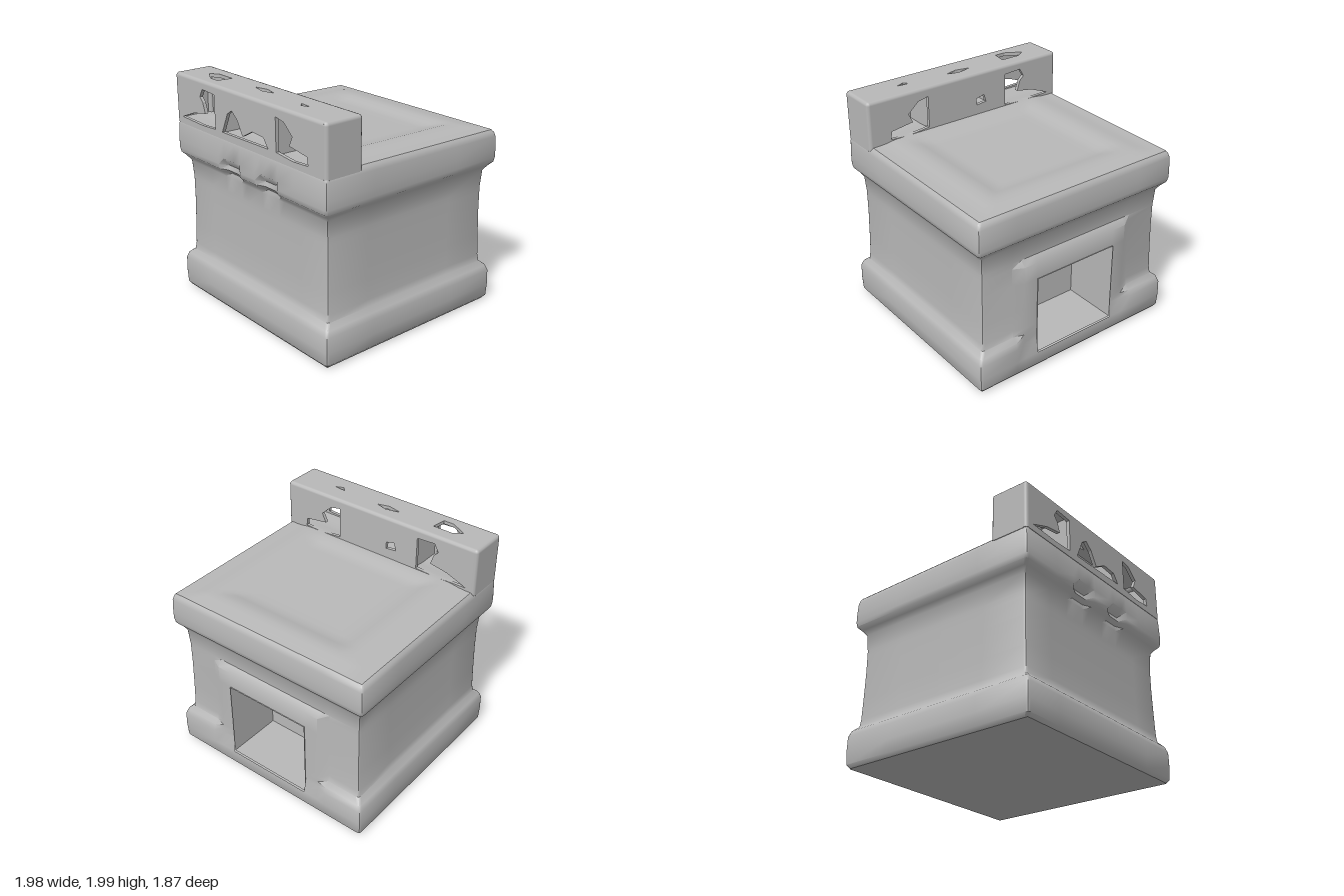
import * as THREE from 'three';
import { toCreasedNormals } from 'three/addons/utils/BufferGeometryUtils.js';

const stone = new THREE.MeshStandardMaterial({ color: 0xb8b8b8, side: THREE.DoubleSide });
stone.name = 'grey stone';

function add(group, name, geometry, x = 0, y = 0, z = 0) {
  const mesh = new THREE.Mesh(geometry, stone);
  mesh.name = name;
  mesh.position.set(x, y, z);
  group.add(mesh);
  return mesh;
}

// Side profile of plinth, wall and cornice: [height, half width]
const profile = [
  [0, 0.96], [0.03, 0.985], [0.14, 0.99], [0.27, 0.988], [0.32, 0.97], [0.36, 0.928], [0.42, 0.92],
  [0.6, 0.915], [0.85, 0.91], [1.0, 0.91], [1.05, 0.91], [1.2, 0.92], [1.245, 0.95], [1.28, 0.983],
  [1.32, 0.99], [1.39, 0.99], [1.52, 0.985], [1.555, 0.975], [1.575, 0.955],
];
const DEPTH_LESS = 0.055;            // depth is a little less than width
const DOOR = { w: 0.4, y0: 0.14, y1: 0.85, depth: 0.5 };
const tilt = (y, z) => (y > 1.5 ? 0.016 * z : 0);

// Outer walls lofted ring by ring, with a doorway left open at the back
function shellGeometry() {
  const frontX = [-0.6, -0.38, -0.3, -0.16, -0.08, 0.12, 0.2, 0.33, 0.41, 0.6];
  const backX = [0.62, 0.53, 0.4, -0.4, -0.53, -0.62];
  const sideZ = [-0.45, 0, 0.45];
  const ring = ([y, hx]) => {
    const hz = hx - DEPTH_LESS, c = 0.025, pts = [];
    const push = (x, z) => pts.push([x, y + tilt(y, z), z]);
    const corner = (sx, sz, sideFirst) => {
      const a = [sx * hx, sz * (hz - c)], b = [sx * (hx - c), sz * hz];
      const m = [sx * (hx - 0.3 * c), sz * (hz - 0.3 * c)];
      (sideFirst ? [a, m, b] : [b, m, a]).forEach((p) => push(...p));
    };
    corner(-1, 1, true);
    // two shallow pockets under the front cornice
    frontX.forEach((x) => {
      const pocket = [-0.3, -0.16, 0.2, 0.33].includes(x) && y > 1.24 && y < 1.35;
      push(x, hz - (pocket ? (y < 1.3 ? 0.035 : 0.055) : 0));
    });
    corner(1, 1, false);
    [...sideZ].reverse().forEach((z) => push(hx, z));
    corner(1, -1, true);
    // door surround stands slightly proud
    backX.forEach((x) => {
      const surround = Math.abs(x) < 0.6 && y > 0.1 && y < 1.02;
      push(x, surround ? -(y < 0.2 ? 0.925 : 0.9) : -hz);
    });
    corner(-1, -1, false);
    sideZ.forEach((z) => push(-hx, z));
    return pts;
  };
  const rings = profile.map(ring), pos = [];
  const n = rings[0].length;
  for (let i = 0; i < rings.length - 1; i++) {
    for (let j = 0; j < n; j++) {
      const k = (j + 1) % n;
      const a = rings[i][j], b = rings[i][k], c = rings[i + 1][k], d = rings[i + 1][j];
      const inDoor = a[2] < -0.8 && Math.abs(a[0] + b[0]) < 0.1 &&
        profile[i][0] >= DOOR.y0 && profile[i + 1][0] <= DOOR.y1;
      if (!inDoor) pos.push(...a, ...b, ...c, ...a, ...c, ...d);
    }
  }
  const g = new THREE.BufferGeometry();
  g.setAttribute('position', new THREE.Float32BufferAttribute(pos, 3));
  return toCreasedNormals(g, 0.75);
}

// Roof: a low rim around a gently sunken square
function roofGeometry() {
  const g = new THREE.PlaneGeometry(1.91, 1.8, 32, 32).rotateX(-Math.PI / 2);
  const p = g.attributes.position, S = THREE.MathUtils.smoothstep;
  for (let i = 0; i < p.count; i++) {
    const x = p.getX(i), z = p.getZ(i), r = Math.max(Math.abs(x), Math.abs(z + 0.08) * 1.08);
    const rim = 0.018 * (1 - S(r, 0.72, 0.88)), dip = 0.035 * (1 - S(r, 0.5, 0.68));
    p.setY(i, 1.575 + tilt(1.575, z) + rim - dip);
  }
  g.computeVertexNormals();
  return g;
}

// Flat plate with cut-outs
function plate(x0, y0, x1, y1, holes, depth = 0.03) {
  const toV = (pts) => pts.map(([x, y]) => new THREE.Vector2(x, y));
  const s = new THREE.Shape(toV([[x0, y0], [x1, y0], [x1, y1], [x0, y1]]));
  holes.forEach((h) => s.holes.push(new THREE.Path(toV(h))));
  return new THREE.ExtrudeGeometry(s, { depth, bevelEnabled: false });
}

function parapet() {
  const g = new THREE.Group();
  g.name = 'parapet';
  const left = [[-0.9, 1.61], [-0.72, 1.68], [-0.55, 1.71], [-0.58, 1.8], [-0.62, 1.84], [-0.58, 1.91],
    [-0.41, 1.9], [-0.41, 1.61], [-0.6, 1.6]];
  const right = [[0.4, 1.62], [0.4, 1.9], [0.5, 1.88], [0.6, 1.79], [0.56, 1.71], [0.77, 1.68],
    [0.78, 1.61], [0.6, 1.6]];
  const middle = [[-0.31, 1.61], [-0.23, 1.78], [-0.17, 1.82], [-0.1, 1.76], [-0.03, 1.64], [0.1, 1.71],
    [0.24, 1.7], [0.3, 1.62]];
  const small = [[-0.2, 1.7], [-0.18, 1.77], [-0.1, 1.75], [-0.1, 1.69]];
  add(g, 'parapetFront', plate(-0.955, 1.55, 0.955, 1.955, [left, middle, right]), 0, 0, 0.9);
  add(g, 'parapetBack', plate(-0.955, 1.55, 0.955, 1.955, [left, small, right]), 0, 0, 0.575);

  // top plate, drawn with shape y = -z
  const topHoles = [
    [[-0.74, -0.75], [-0.66, -0.7], [-0.48, -0.7], [-0.5, -0.83], [-0.6, -0.83]],
    [[-0.13, -0.72], [0, -0.69], [0.11, -0.72], [0, -0.75]],
    [[0.48, -0.74], [0.59, -0.75], [0.52, -0.78]],
  ];
  add(g, 'parapetTop', plate(-0.955, -0.9, 0.955, -0.605, topHoles).rotateX(-Math.PI / 2), 0, 1.955, 0);

  const R = 0.03;
  for (const s of [-1, 1]) {
    add(g, 'parapetEnd', new THREE.BoxGeometry(0.03, 0.405, 0.295), s * 0.97, 1.7525, 0.7525);
    add(g, 'parapetEndEdge', new THREE.CylinderGeometry(R, R, 0.295, 12).rotateX(Math.PI / 2), s * 0.955, 1.955, 0.7525);
    for (const z of [0.605, 0.9]) {
      add(g, 'parapetUprightEdge', new THREE.CylinderGeometry(R, R, 0.4, 12), s * 0.955, 1.755, z);
      add(g, 'parapetCorner', new THREE.SphereGeometry(R, 12, 8), s * 0.955, 1.955, z);
    }
    // inner partitions beside the middle bay
    add(g, 'parapetPartition', new THREE.BoxGeometry(0.03, 0.38, 0.3), s * 0.37, 1.76, 0.75);
  }
  for (const z of [0.605, 0.9]) {
    add(g, 'parapetLongEdge', new THREE.CylinderGeometry(R, R, 1.91, 12).rotateZ(Math.PI / 2), 0, 1.955, z);
  }
  return g;
}

export function createModel() {
  const model = new THREE.Group();
  model.name = 'kiosk';
  add(model, 'walls', shellGeometry());
  add(model, 'roof', roofGeometry());
  add(model, 'underside', new THREE.PlaneGeometry(1.92, 1.81).rotateX(Math.PI / 2));

  // doorway recess: floor, ceiling, sides and end
  const h = DOOR.y1 - DOOR.y0, yc = (DOOR.y0 + DOOR.y1) / 2, d = DOOR.depth, zc = -0.91 + d / 2;
  const recess = new THREE.Group();
  recess.name = 'doorRecess';
  add(recess, 'recessEnd', new THREE.PlaneGeometry(0.8, h).rotateY(Math.PI), 0, yc, -0.91 + d);
  add(recess, 'recessFloor', new THREE.PlaneGeometry(0.8, d).rotateX(-Math.PI / 2), 0, DOOR.y0, zc);
  add(recess, 'recessCeiling', new THREE.PlaneGeometry(0.8, d).rotateX(Math.PI / 2), 0, DOOR.y1, zc);
  for (const s of [-1, 1]) {
    add(recess, 'recessSide', new THREE.PlaneGeometry(d, h).rotateY(-s * Math.PI / 2), s * DOOR.w, yc, zc);
  }
  model.add(recess, parapet());
  return model;
}
